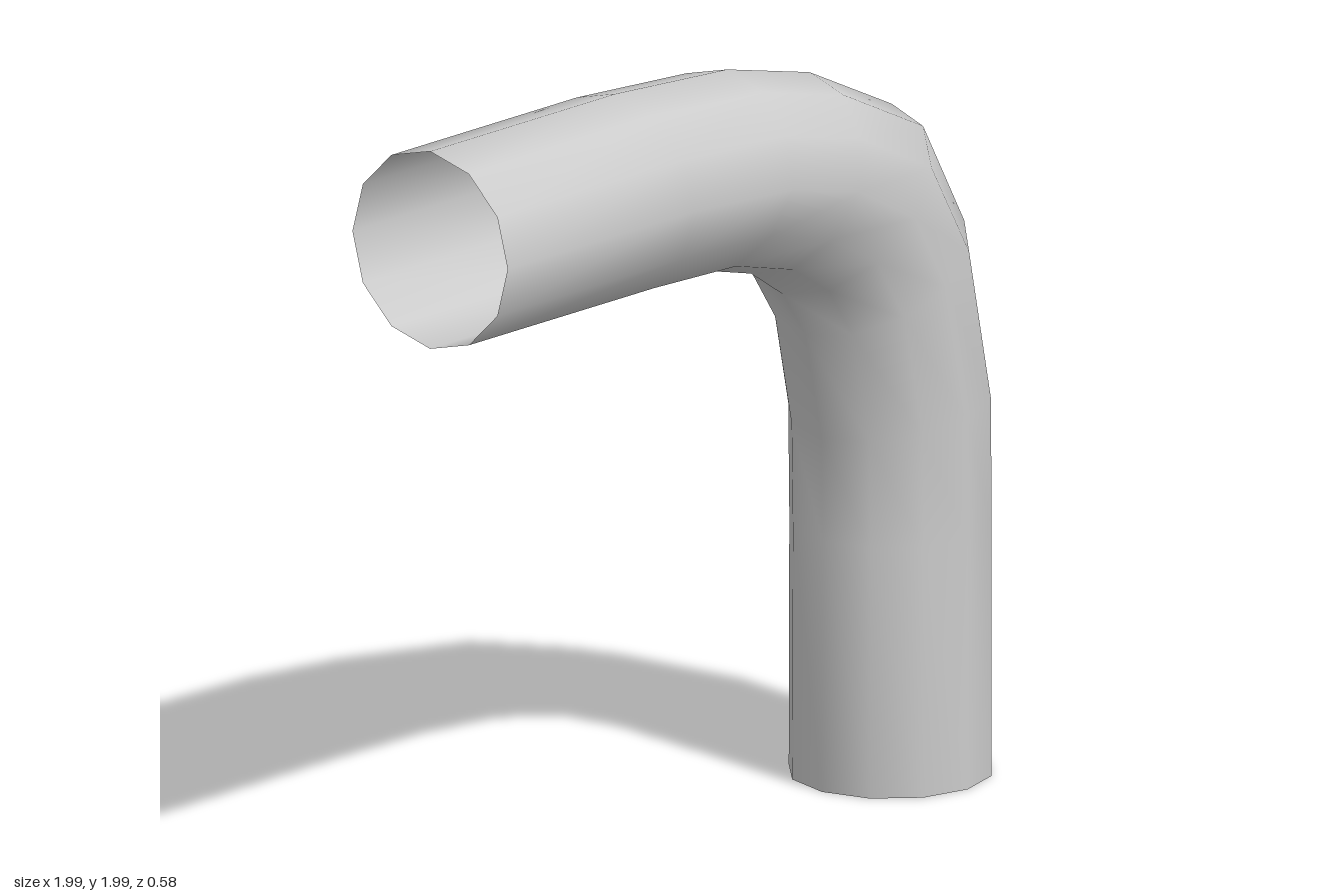
import * as THREE from 'three';

const SIDES = 12;
const Z_MID = 0.014;
const RADIUS = 0.258;

// Rings along the bend: outer x, y, inner x, y, extra bulge at front, at back
const RINGS = [
  [-1, 1.988, -1, 1.475, 0, 0],
  [-0.3, 1.984, -0.3, 1.47, 0, 0],
  [0.12, 1.955, 0, 1.46, 0.014, 0],
  [0.43, 1.88, 0.21, 1.405, 0.004, 0],
  [0.74, 1.73, 0.33, 1.325, 0, 0.046],
  [0.9, 1.44, 0.415, 1.2, 0, 0],
  [0.99, 1.0, 0.475, 0.92, 0, 0],
  [0.991, 0.65, 0.48, 0.65, 0, 0],
  [0.991, 0, 0.477, 0, 0, 0],
];

// Open tube skinned over the rings, with a shared seam for smooth normals
function elbowGeometry() {
  const positions = [];
  const index = [];
  RINGS.forEach(([ox, oy, ix, iy, front, back], r) => {
    for (let k = 0; k < SIDES; k++) {
      const a = (k / SIDES) * Math.PI * 2;
      const t = (1 + Math.cos(a)) / 2;
      let z = Z_MID + RADIUS * Math.sin(a);
      if (k === SIDES / 4) z += front;
      if (k === (SIDES * 3) / 4) z -= back;
      positions.push(ix + (ox - ix) * t, iy + (oy - iy) * t, z);
      if (r < RINGS.length - 1) {
        const p = r * SIDES + k;
        const q = r * SIDES + ((k + 1) % SIDES);
        index.push(p, q, p + SIDES, q, q + SIDES, p + SIDES);
      }
    }
  });
  const geometry = new THREE.BufferGeometry();
  geometry.setAttribute('position', new THREE.Float32BufferAttribute(positions, 3));
  geometry.setIndex(index);
  geometry.computeVertexNormals();
  return geometry;
}

export function createModel() {
  const group = new THREE.Group();
  group.name = 'pipeElbow';
  const material = new THREE.MeshStandardMaterial({ color: 0xcccccc, side: THREE.DoubleSide });
  const pipe = new THREE.Mesh(elbowGeometry(), material);
  pipe.name = 'bentPipe';
  group.add(pipe);
  return group;
}
